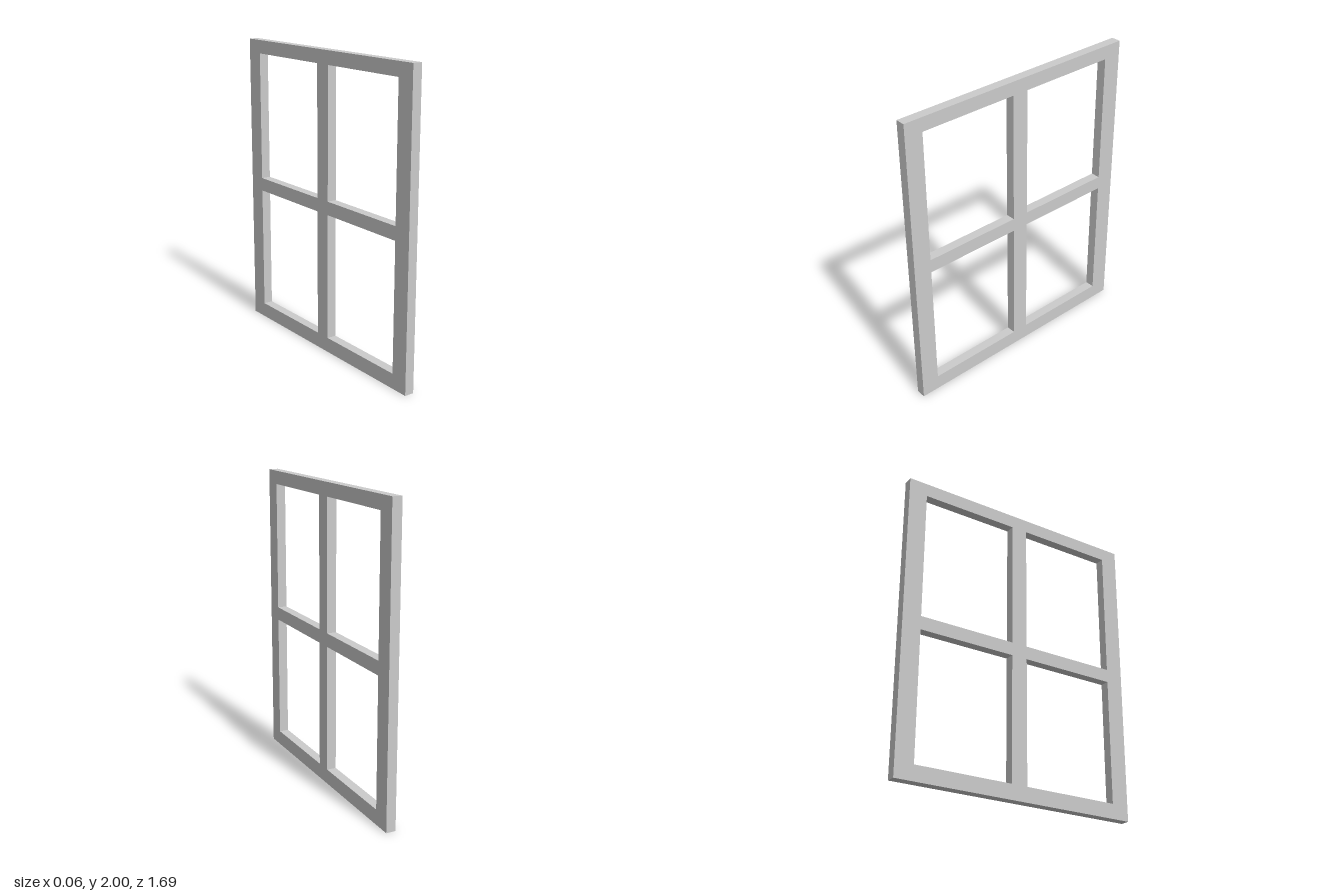
import * as THREE from 'three';

const DEPTH = 0.064;
const HALF_WIDTH = 0.845;
const HEIGHT = 2;
// Pane openings, as [start, end] along z and along y
const COLUMNS = [[-0.72, -0.055], [0.057, 0.724]];
const ROWS = [[0.1, 0.95], [1.04, 1.91]];

// Traces a rectangle on a Shape or Path
function rectangle(path, z0, z1, y0, y1) {
  path.moveTo(z0, y0);
  path.lineTo(z1, y0);
  path.lineTo(z1, y1);
  path.lineTo(z0, y1);
  path.closePath();
  return path;
}

export function createModel() {
  const group = new THREE.Group();
  group.name = 'window';

  // Outer frame with the four panes cut out, leaving the crossbars
  const outline = rectangle(new THREE.Shape(), -HALF_WIDTH, HALF_WIDTH, 0, HEIGHT);
  for (const [z0, z1] of COLUMNS) {
    for (const [y0, y1] of ROWS) {
      outline.holes.push(rectangle(new THREE.Path(), z0, z1, y0, y1));
    }
  }

  // Extrude, centre the thickness, then turn the width onto z
  const geometry = new THREE.ExtrudeGeometry(outline, { depth: DEPTH, bevelEnabled: false });
  geometry.translate(0, 0, -DEPTH / 2);
  geometry.rotateY(-Math.PI / 2);

  const frame = new THREE.Mesh(geometry, new THREE.MeshStandardMaterial({ color: 0xcccccc }));
  frame.name = 'windowFrame';
  group.add(frame);
  return group;
}
